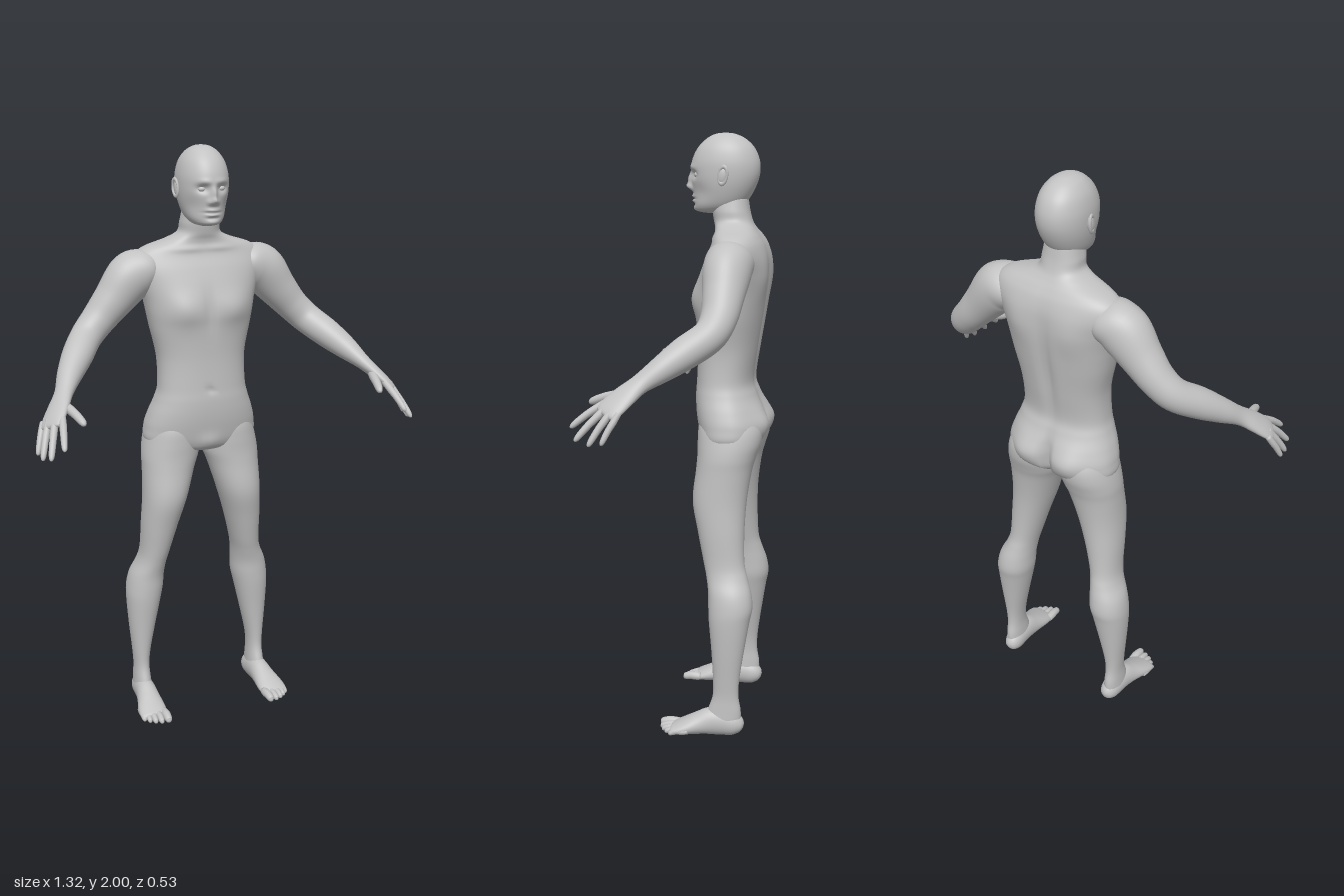
import * as THREE from 'three';

const skin = new THREE.MeshStandardMaterial({ color: 0xc2c2c2 });
skin.name = 'plain grey';

// Catmull-Rom interpolation of every column in a table of cross-sections
function smooth(rows, steps) {
  const out = [], last = rows.length - 1;
  const at = i => rows[Math.max(0, Math.min(last, i))];
  for (let i = 0; i < last; i++) {
    for (let s = 0; s < steps; s++) {
      const t = s / steps, a = at(i - 1), b = at(i), c = at(i + 1), d = at(i + 2);
      out.push(b.map((v, k) => 0.5 * (2 * v + (c[k] - a[k]) * t
        + (2 * a[k] - 5 * v + 4 * c[k] - d[k]) * t * t
        + (3 * v - a[k] - 3 * c[k] + d[k]) * t * t * t)));
    }
  }
  out.push(rows[last]);
  return out;
}

// Closed skin over a list of rings, with a pole at each end
function skinRings(rings) {
  const n = rings[0].length, m = rings.length, pos = [], idx = [];
  rings.forEach(r => r.forEach(p => pos.push(p.x, p.y, p.z)));
  for (const r of [rings[0], rings[m - 1]]) {
    const c = r.reduce((s, p) => s.add(p), new THREE.Vector3()).divideScalar(n);
    pos.push(c.x, c.y, c.z);
  }
  for (let j = 0; j < n; j++) {
    const k = (j + 1) % n;
    for (let i = 0; i < m - 1; i++) {
      const a = i * n + j, b = i * n + k;
      idx.push(a, b, a + n, b, b + n, a + n);
    }
    idx.push(m * n, k, j, m * n + 1, (m - 1) * n + j, (m - 1) * n + k);
  }
  const g = new THREE.BufferGeometry();
  g.setAttribute('position', new THREE.Float32BufferAttribute(pos, 3));
  g.setIndex(idx);
  g.computeVertexNormals();
  return g;
}

// Upright form from rows, top to bottom: [y, centre x, half width, back z, front z]
function column(rows, segs, steps, power) {
  const bend = v => Math.sign(v) * Math.abs(v) ** power;
  return skinRings(smooth(rows, steps).map(([y, cx, hx, zb, zf]) =>
    Array.from({ length: segs }, (_, j) => {
      const a = j / segs * Math.PI * 2;
      return new THREE.Vector3(cx + hx * bend(Math.cos(a)), y,
        (zb + zf) / 2 + (zf - zb) / 2 * bend(Math.sin(a)));
    })));
}

// Form along a path from rows: [x, y, z, radius along side, other radius]
function limb(rows, side, segs, steps) {
  const pts = smooth(rows, steps), P = r => new THREE.Vector3(r[0], r[1], r[2]);
  return skinRings(pts.map((r, i) => {
    const t = P(pts[Math.min(i + 1, pts.length - 1)]).sub(P(pts[Math.max(i - 1, 0)])).normalize();
    const a = side.clone().addScaledVector(t, -side.dot(t)).normalize();
    const b = t.clone().cross(a);
    return Array.from({ length: segs }, (_, j) => {
      const w = j / segs * Math.PI * 2;
      return P(r).addScaledVector(a, r[3] * Math.cos(w)).addScaledVector(b, r[4] * Math.sin(w));
    });
  }));
}

// Soft mirrored swellings and hollows: [x, y, z, spread x, spread y, spread z, push z]
function sculpt(g, bumps) {
  const p = g.attributes.position;
  for (let i = 0; i < p.count; i++) {
    const x = Math.abs(p.getX(i)), y = p.getY(i), z = p.getZ(i);
    let push = 0;
    for (const [bx, by, bz, sx, sy, sz, d] of bumps)
      push += d * Math.exp(-(((x - bx) / sx) ** 2) - ((y - by) / sy) ** 2 - ((z - bz) / sz) ** 2);
    p.setZ(i, z + push);
  }
  g.computeVertexNormals();
  return g;
}

function mirrored(g) {
  const m = g.clone().scale(-1, 1, 1), ix = m.index.array;
  for (let i = 0; i < ix.length; i += 3) [ix[i], ix[i + 1]] = [ix[i + 1], ix[i]];
  return m;
}

// Finger or toe tapering to a round tip
function digit(base, tip, r, side) {
  const row = (t, k, lift = 0) => [0, 1, 2].map(i => base[i] + (tip[i] - base[i]) * t + (i === 1 ? lift : 0)).concat(r * k, r * k);
  return limb([row(-0.15, 0.9), row(0.2, 1.05, 0.002), row(0.5, 0.98, 0.004), row(0.8, 0.88, 0.002),
    row(0.93, 0.68), row(0.985, 0.35), row(1, 0.08)], side, 14, 3);
}

export function createModel() {
  const model = new THREE.Group();
  model.name = 'standingFigure';
  const add = (name, g) => {
    const mesh = new THREE.Mesh(g, skin);
    mesh.name = name;
    model.add(mesh);
  };
  const pair = (name, g) => {
    add('left' + name, g);
    add('right' + name, mirrored(g));
  };

  // Torso with neck
  add('torso', sculpt(column([
    [1.79, 0, 0.058, -0.18, -0.06], [1.75, 0, 0.066, -0.186, -0.062], [1.715, 0, 0.073, -0.196, -0.068],
    [1.693, 0, 0.115, -0.208, -0.074], [1.668, 0, 0.19, -0.225, -0.075], [1.64, 0, 0.222, -0.24, -0.066],
    [1.6, 0, 0.228, -0.25, -0.048], [1.55, 0, 0.212, -0.252, -0.03], [1.5, 0, 0.197, -0.25, -0.018],
    [1.45, 0, 0.187, -0.245, -0.013], [1.4, 0, 0.177, -0.238, -0.015], [1.3, 0, 0.156, -0.222, -0.019],
    [1.2, 0, 0.156, -0.208, -0.016], [1.15, 0, 0.168, -0.22, -0.013], [1.1, 0, 0.187, -0.238, -0.015],
    [1.05, 0, 0.2, -0.25, -0.022], [1.0, 0, 0.196, -0.238, -0.034], [0.972, 0, 0.12, -0.2, -0.05],
    [0.955, 0, 0.03, -0.15, -0.09]], 80, 7, 0.86), [
    [0.09, 1.47, -0.01, 0.065, 0.055, 0.07, 0.016], // chest
    [0, 1.47, -0.01, 0.016, 0.07, 0.05, -0.006],
    [0.05, 1.665, -0.07, 0.07, 0.012, 0.03, 0.006], // collar bones
    [0, 1.19, -0.015, 0.01, 0.011, 0.03, -0.008], // navel
    [0, 1.0, -0.035, 0.035, 0.03, 0.04, 0.01],
    [0, 1.38, -0.235, 0.022, 0.2, 0.05, 0.014], // spine
    [0.1, 1.54, -0.25, 0.055, 0.07, 0.05, -0.009], // shoulder blades
    [0.09, 1.055, -0.25, 0.06, 0.065, 0.06, -0.022], // buttocks
    [0, 1.04, -0.25, 0.016, 0.07, 0.06, 0.035]]));

  // Head and face
  add('head', sculpt(column([
    [1.999, 0, 0.008, -0.115, -0.09], [1.995, 0, 0.026, -0.138, -0.068], [1.98, 0, 0.05, -0.17, -0.04],
    [1.95, 0, 0.071, -0.2, -0.011], [1.91, 0, 0.082, -0.216, 0.007], [1.87, 0, 0.084, -0.217, 0.009],
    [1.83, 0, 0.08, -0.205, 0.005], [1.79, 0, 0.07, -0.183, 0.0], [1.765, 0, 0.059, -0.16, -0.002],
    [1.75, 0, 0.044, -0.13, -0.01], [1.743, 0, 0.022, -0.09, -0.035]], 112, 9, 0.94), [
    [0.033, 1.867, 0, 0.02, 0.014, 0.06, -0.014], // eye sockets
    [0.028, 1.889, 0, 0.025, 0.01, 0.05, 0.005], // brows
    [0, 1.852, 0.01, 0.01, 0.022, 0.05, 0.014], // nose
    [0, 1.828, 0.01, 0.012, 0.012, 0.05, 0.018],
    [0.014, 1.823, 0.01, 0.008, 0.008, 0.05, 0.007],
    [0, 1.797, 0, 0.022, 0.006, 0.05, 0.008], // lips
    [0, 1.782, 0, 0.02, 0.006, 0.05, 0.008],
    [0, 1.79, 0, 0.024, 0.003, 0.05, -0.007],
    [0, 1.771, 0, 0.02, 0.006, 0.05, -0.004],
    [0, 1.757, 0, 0.025, 0.011, 0.05, 0.006], // chin
    [0.06, 1.81, -0.03, 0.03, 0.03, 0.06, -0.008]])); // cheeks
  pair('Eye', new THREE.SphereGeometry(0.012, 20, 14).scale(1.15, 0.8, 1).translate(0.033, 1.866, -0.017));

  // Ears: inner shell and curled rim
  pair('EarShell', new THREE.SphereGeometry(1, 18, 14).scale(0.008, 0.027, 0.015).rotateX(-0.15).translate(0.086, 1.862, -0.107));
  pair('EarRim', new THREE.TorusGeometry(0.017, 0.0045, 8, 28).rotateY(Math.PI / 2).scale(1, 1.6, 0.9)
    .rotateX(-0.15).rotateY(-0.25).translate(0.09, 1.864, -0.109));

  // Legs
  pair('Leg', column([
    [1.13, 0.1, 0.03, -0.17, -0.09], [1.1, 0.1, 0.066, -0.215, -0.055], [1.05, 0.1, 0.09, -0.245, -0.036],
    [1.0, 0.105, 0.099, -0.246, -0.033], [0.95, 0.112, 0.1, -0.231, -0.033], [0.9, 0.122, 0.091, -0.217, -0.03],
    [0.8, 0.139, 0.077, -0.203, -0.022], [0.7, 0.157, 0.064, -0.199, -0.042], [0.6, 0.172, 0.052, -0.202, -0.064],
    [0.55, 0.183, 0.052, -0.214, -0.076], [0.5, 0.197, 0.061, -0.229, -0.085], [0.45, 0.204, 0.065, -0.235, -0.087],
    [0.4, 0.21, 0.061, -0.226, -0.09], [0.3, 0.218, 0.047, -0.21, -0.1], [0.2, 0.224, 0.032, -0.196, -0.107],
    [0.14, 0.225, 0.027, -0.194, -0.106], [0.09, 0.225, 0.029, -0.202, -0.09], [0.05, 0.225, 0.03, -0.2, -0.08],
    [0.03, 0.225, 0.02, -0.18, -0.1]], 44, 5, 0.95));

  // Feet and toes
  const across = new THREE.Vector3(1, 0, 0);
  pair('Foot', limb([
    [0.222, 0.034, -0.211, 0.006, 0.008], [0.222, 0.036, -0.203, 0.021, 0.024], [0.222, 0.041, -0.18, 0.032, 0.04],
    [0.224, 0.047, -0.14, 0.035, 0.047], [0.226, 0.047, -0.1, 0.037, 0.047], [0.229, 0.038, -0.06, 0.042, 0.038],
    [0.233, 0.028, -0.02, 0.049, 0.028], [0.236, 0.02, 0.012, 0.05, 0.02], [0.236, 0.016, 0.03, 0.045, 0.014],
    [0.236, 0.015, 0.036, 0.03, 0.006]], across, 36, 5));
  [[0.2, 0.08, 0.015], [0.224, 0.076, 0.0115], [0.244, 0.067, 0.011], [0.261, 0.054, 0.0105], [0.276, 0.038, 0.0105]]
    .forEach(([x, z, r], i) => pair('Toe' + (i + 1), digit([x - 0.002, 0.02, z - 0.058], [x, r, z], r, across)));

  // Arms, running on into the palms
  const palmSide = new THREE.Vector3(0.62, -0.37, -0.69);
  pair('Arm', limb([
    [0.14, 1.605, -0.15, 0.04, 0.03], [0.175, 1.598, -0.15, 0.076, 0.064], [0.235, 1.573, -0.15, 0.077, 0.083],
    [0.3, 1.5, -0.148, 0.066, 0.068], [0.355, 1.438, -0.144, 0.058, 0.057], [0.405, 1.388, -0.122, 0.053, 0.053],
    [0.455, 1.342, -0.058, 0.052, 0.05], [0.5, 1.298, 0.004, 0.042, 0.04], [0.536, 1.258, 0.062, 0.034, 0.026],
    [0.566, 1.225, 0.103, 0.042, 0.021], [0.592, 1.195, 0.135, 0.046, 0.017], [0.607, 1.177, 0.152, 0.04, 0.012],
    [0.611, 1.172, 0.157, 0.02, 0.005]], palmSide, 36, 6));

  // Fingers and thumb
  const hand = {
    IndexFinger: [[0.572, 1.2, 0.167], [0.595, 1.128, 0.266], 0.0115],
    MiddleFinger: [[0.595, 1.188, 0.157], [0.633, 1.095, 0.243], 0.0115],
    RingFinger: [[0.613, 1.178, 0.138], [0.648, 1.084, 0.198], 0.011],
    LittleFinger: [[0.625, 1.17, 0.115], [0.653, 1.09, 0.157], 0.01],
    Thumb: [[0.545, 1.226, 0.115], [0.517, 1.193, 0.227], 0.0145],
  };
  for (const [name, [base, tip, r]] of Object.entries(hand)) pair(name, digit(base, tip, r, palmSide));
  return model;
}
